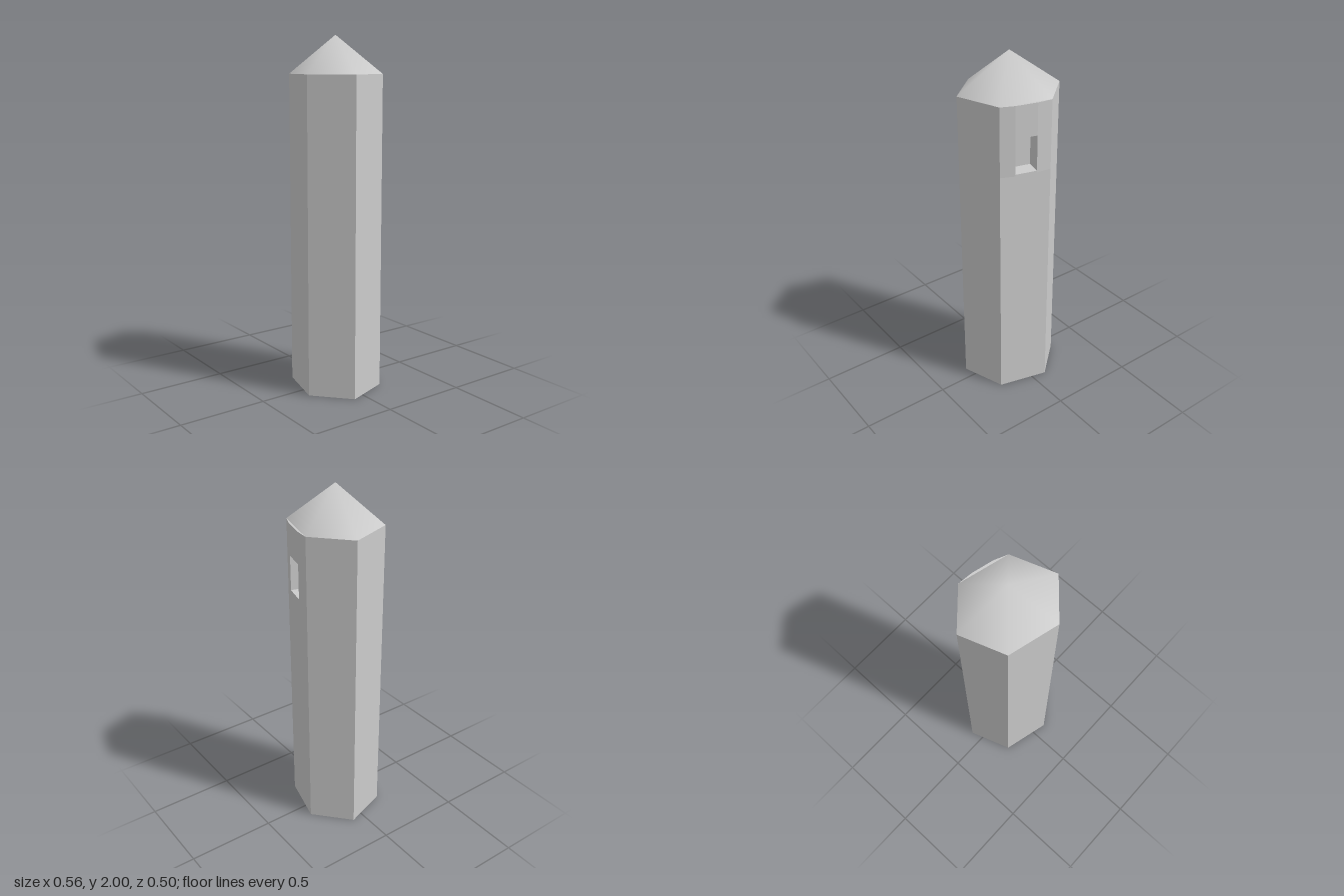
import * as THREE from 'three';
import { mergeGeometries } from 'three/addons/utils/BufferGeometryUtils.js';

const EAVE = 1.79, APEX = 2, LEDGE = 1.4, SILL = 1.41, LINTEL = 1.61, DEPTH = 0.088;

// Plan corners as [x, z], counterclockwise seen from above
const HALF = [[0.281, 0.072], [0.195, -0.177], [-0.085, -0.249]];
const RING = [...HALF, ...HALF.map(([x, z]) => [-x, -z])];

// Flat convex polygon from 3D corners
function polygon(corners) {
  const pos = [];
  for (let i = 1; i < corners.length - 1; i++) pos.push(...corners[0], ...corners[i], ...corners[i + 1]);
  const g = new THREE.BufferGeometry();
  g.setAttribute('position', new THREE.Float32BufferAttribute(pos, 3));
  g.computeVertexNormals();
  return g;
}

const at = ([x, z], y) => [x, y, z];
const wall = (a, b, y0, y1) => polygon([at(a, y0), at(b, y0), at(b, y1), at(a, y1)]);
const slabUp = (pts, y) => polygon(pts.map(p => at(p, y)));
const slabDown = (pts, y) => polygon([...pts].reverse().map(p => at(p, y)));

export function createModel() {
  const group = new THREE.Group();
  const material = new THREE.MeshStandardMaterial({ color: 0xcccccc });
  const add = (name, geometry) => {
    const mesh = new THREE.Mesh(geometry, material);
    mesh.name = name;
    group.add(mesh);
  };

  // Six-sided shaft; the back side (corner 1 to 2) stops at the ledge
  const walls = RING.map((a, i) => wall(a, RING[(i + 1) % 6], 0, i === 1 ? LEDGE : EAVE));
  add('shaft', mergeGeometries([...walls, slabDown(RING, 0)]));

  // Shallow three-sided bay on the upper back wall
  const [b0, b1] = [RING[1], RING[2]];
  const o0 = [0.12, -0.21], o1 = [0, -0.24];
  const bayPlan = [b0, o0, o1, b1];
  add('windowBay', mergeGeometries([
    wall(b0, o0, LEDGE, EAVE),
    wall(o1, b1, LEDGE, EAVE),
    wall(o0, o1, LEDGE, SILL),
    wall(o0, o1, LINTEL, EAVE),
    slabDown(bayPlan, LEDGE),
    slabUp(bayPlan, EAVE),
  ]));

  // Recess behind the window opening
  const inward = ([x, z]) => [x - 0.243 * DEPTH, z + 0.97 * DEPTH];
  const i0 = inward(o0), i1 = inward(o1);
  const recessPlan = [o0, o1, i1, i0];
  add('windowRecess', mergeGeometries([
    wall(i0, i1, SILL, LINTEL),
    wall(o0, i0, SILL, LINTEL),
    wall(i1, o1, SILL, LINTEL),
    slabUp(recessPlan, SILL),
    slabDown(recessPlan, LINTEL),
  ]));

  // Smoothly shaded pointed roof
  const roof = new THREE.BufferGeometry();
  const points = [...RING.map(p => at(p, EAVE)), [0, APEX, 0]];
  roof.setAttribute('position', new THREE.Float32BufferAttribute(points.flat(), 3));
  roof.setIndex(RING.flatMap((_, i) => [i, (i + 1) % 6, 6]));
  roof.computeVertexNormals();
  add('roof', roof);

  return group;
}
